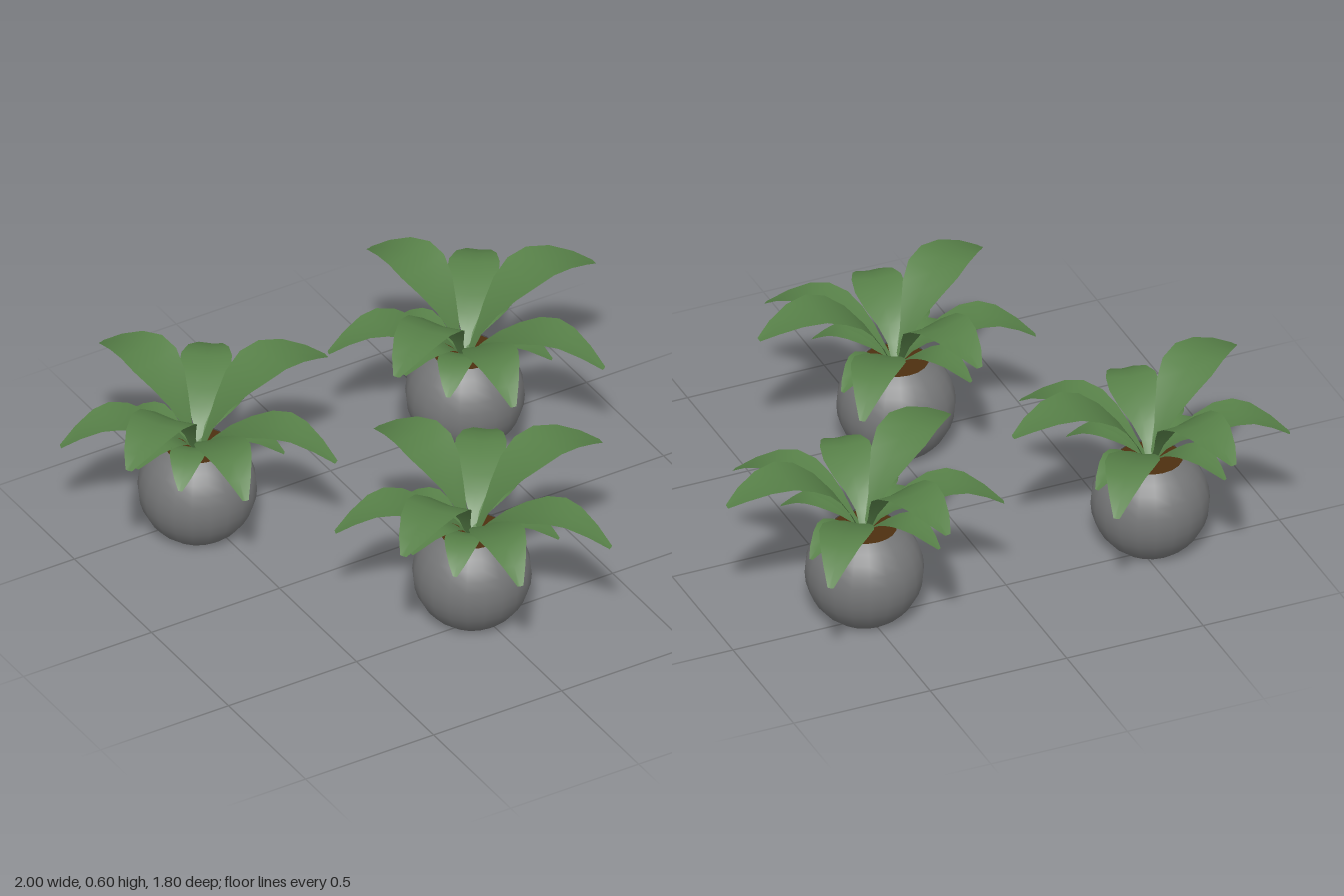
import * as THREE from 'three';

const potGrey = new THREE.MeshStandardMaterial({ color: 0x757677, side: THREE.DoubleSide });
potGrey.name = 'pot grey';
const leafGreen = new THREE.MeshStandardMaterial({ color: 0x578048, side: THREE.DoubleSide });
leafGreen.name = 'leaf green';
const soilBrown = new THREE.MeshStandardMaterial({ color: 0x4d3010 });
soilBrown.name = 'soil brown';

// Side profiles of the three leaf tiers: [share of reach, height]
const TIERS = {
  upper: { width: 0.1, path: [[0.04, 0.33], [0.13, 0.42], [0.27, 0.51], [0.44, 0.57], [0.63, 0.595], [0.84, 0.57], [1, 0.53]] },
  middle: { width: 0.088, path: [[0.04, 0.33], [0.17, 0.4], [0.36, 0.45], [0.58, 0.485], [0.78, 0.47], [1, 0.4]] },
  lower: { width: 0.06, path: [[0.06, 0.33], [0.25, 0.375], [0.5, 0.41], [0.75, 0.4], [1, 0.35]] },
};

// [tier, compass angle in degrees from +x towards +z, reach]
const LEAVES = [
  ['upper', 2, 0.495], ['upper', 149, 0.49], ['upper', -104, 0.455],
  ['middle', -53, 0.5], ['middle', 54, 0.505], ['middle', 100, 0.452], ['middle', 198, 0.47],
  ['lower', 45, 0.3], ['lower', 132, 0.3], ['lower', 237, 0.3], ['lower', -28, 0.29], ['lower', 172, 0.26],
];

// Half width along the blade: narrow stalk, broad middle, blunt tip
const widthCurve = new THREE.SplineCurve(
  [[0, 0.14], [0.14, 0.26], [0.3, 0.7], [0.48, 1], [0.65, 0.92], [0.84, 0.58], [1, 0.12]]
    .map(([x, y]) => new THREE.Vector2(x, y)));

function leafGeometry(tier, reach) {
  const { width, path } = TIERS[tier];
  const spine = new THREE.SplineCurve(path.map(([r, y]) => new THREE.Vector2(r * reach, y)));
  const rows = 8;
  const pos = [];
  const index = [];
  for (let i = 0; i <= rows; i++) {
    const t = i / rows;
    const p = spine.getPoint(t);
    const w = widthCurve.getPoint(t).y * width;
    // Three points across, with slightly raised edges
    for (const side of [-1, 0, 1]) pos.push(p.x, p.y + Math.abs(side) * w * 0.12, side * w);
    if (i === rows) break;
    for (let j = 0; j < 2; j++) {
      const a = i * 3 + j;
      index.push(a, a + 1, a + 4, a, a + 4, a + 3);
    }
  }
  const g = new THREE.BufferGeometry();
  g.setAttribute('position', new THREE.Float32BufferAttribute(pos, 3));
  g.setIndex(index);
  g.computeVertexNormals();
  return g;
}

// Sphere cut flat at the bottom and open at the top
function potGeometry() {
  const pts = [];
  const cut = 0.99;
  for (let i = 0; i <= 10; i++) {
    const a = -cut + (2 * cut * i) / 10;
    pts.push(new THREE.Vector2(0.201 * Math.cos(a), 0.168 + 0.201 * Math.sin(a)));
  }
  return new THREE.LatheGeometry(pts, 20);
}

function createPlant() {
  const plant = new THREE.Group();
  const add = (name, geometry, material) => {
    const mesh = new THREE.Mesh(geometry, material);
    mesh.name = name;
    plant.add(mesh);
    return mesh;
  };
  add('pot', potGeometry(), potGrey);
  const base = add('potBase', new THREE.CircleGeometry(0.11, 20), potGrey);
  base.rotation.x = Math.PI / 2;
  base.position.y = 0.001;
  const soil = add('soil', new THREE.CircleGeometry(0.116, 20), soilBrown);
  soil.rotation.x = -Math.PI / 2;
  soil.position.y = 0.326;
  for (const [tier, angle, reach] of LEAVES) {
    const leaf = add(tier + 'Leaf', leafGeometry(tier, reach), leafGreen);
    leaf.rotation.y = -THREE.MathUtils.degToRad(angle);
  }
  return plant;
}

export function createModel() {
  const model = new THREE.Group();
  model.name = 'pottedPlants';
  const places = { leftRearPlant: [0.5, -0.457], rightRearPlant: [-0.55, -0.45], frontPlant: [-0.02, 0.452] };
  for (const [name, [x, z]] of Object.entries(places)) {
    const plant = createPlant();
    plant.name = name;
    plant.position.set(x, 0, z);
    model.add(plant);
  }
  return model;
}
